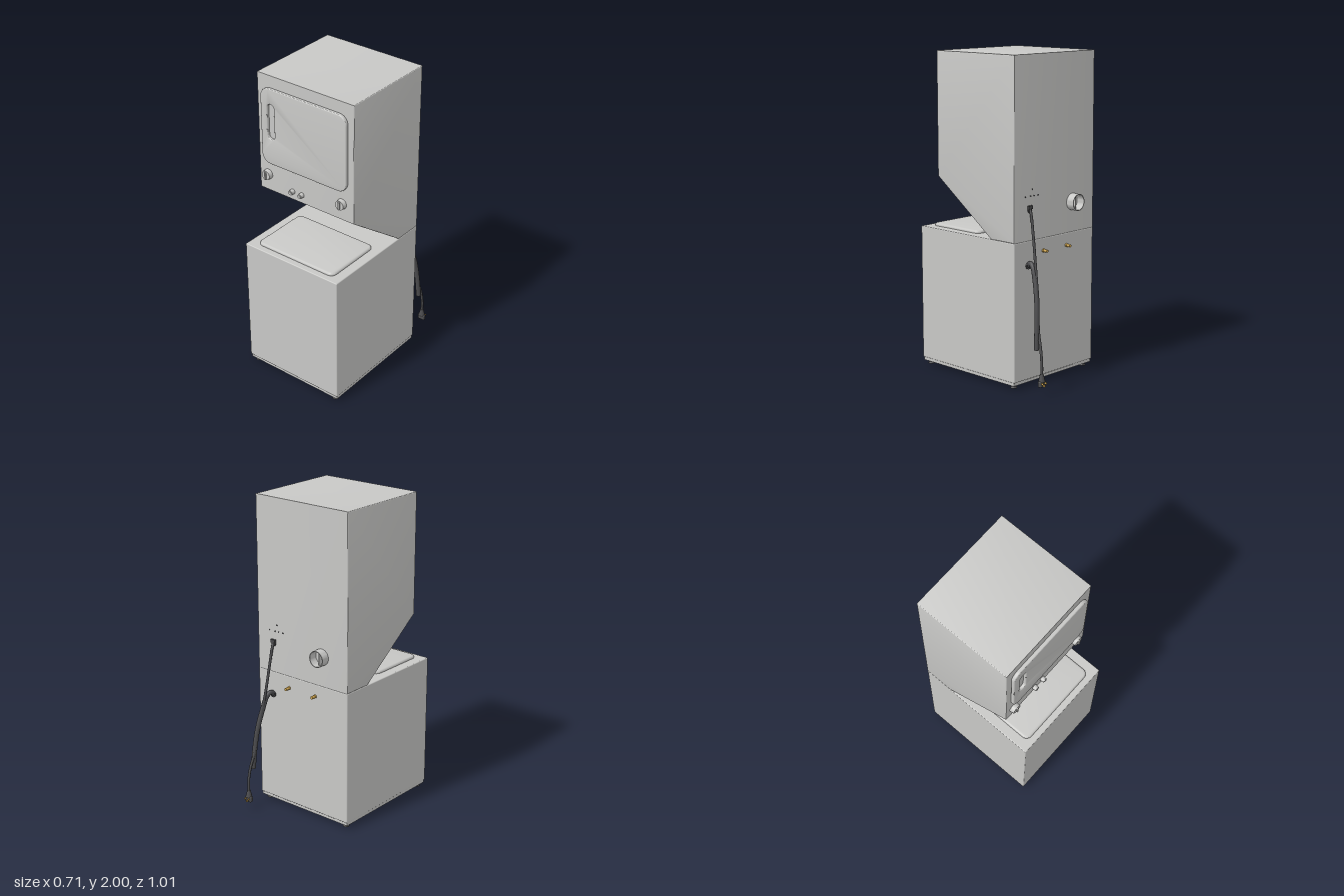
import * as THREE from 'three';
import { toCreasedNormals } from 'three/addons/utils/BufferGeometryUtils.js';
import { RoundedBoxGeometry } from 'three/addons/geometries/RoundedBoxGeometry.js';

const mat = (name, color, side = THREE.FrontSide) => {
  const m = new THREE.MeshStandardMaterial({ color, side });
  m.name = name;
  return m;
};

// Rounded rectangle centred on (cx, cy)
function roundRect(Type, cx, cy, w, h, r) {
  const s = new Type(), x = w / 2 - r, y = h / 2 - r;
  s.absarc(cx + x, cy + y, r, 0, Math.PI / 2);
  s.absarc(cx - x, cy + y, r, Math.PI / 2, Math.PI);
  s.absarc(cx - x, cy - y, r, Math.PI, Math.PI * 1.5);
  s.absarc(cx + x, cy - y, r, Math.PI * 1.5, Math.PI * 2);
  s.closePath();
  return s;
}

// Extrusion whose outline keeps its size, with bevelled ends, from 0 to depth
function slab(shape, depth, size, thick = size) {
  const g = new THREE.ExtrudeGeometry(shape, {
    depth: depth - 2 * thick, bevelEnabled: true, bevelSize: size, bevelOffset: -size,
    bevelThickness: thick, bevelSegments: 3, curveSegments: 10,
  });
  return toCreasedNormals(g.translate(0, 0, thick), 0.6);
}

export function createModel() {
  const model = new THREE.Group();
  model.name = 'stackedWasherDryer';
  const enamel = mat('greyEnamel', 0xc8c8c6);
  const shell = mat('greyDuct', 0xc8c8c6, THREE.DoubleSide);
  const rubber = mat('darkRubber', 0x4c4c4e);
  const brass = mat('brass', 0xd0a650);

  const add = (name, geo, m, x = 0, y = 0, z = 0, parent = model) => {
    const mesh = new THREE.Mesh(geo, m);
    mesh.name = name;
    mesh.position.set(x, y, z);
    parent.add(mesh);
    return mesh;
  };
  // Cylinder lying along z
  const rod = (r0, r1, len, n = 28) => new THREE.CylinderGeometry(r0, r1, len, n).rotateX(Math.PI / 2);
  const tube = (pts, r) => new THREE.TubeGeometry(
    new THREE.CatmullRomCurve3(pts.map(p => new THREE.Vector3(...p))), 48, r, 12);

  // Washer cabinet on a slightly inset base
  add('washerCabinet', new RoundedBoxGeometry(0.71, 0.855, 0.81, 3, 0.006), enamel, 0, 0.4695, 0.1);
  add('washerBase', new THREE.BoxGeometry(0.7, 0.03, 0.795), enamel, 0, 0.037, 0.1);

  // Levelling feet
  for (const x of [-0.315, 0.315]) for (const z of [-0.262, 0.468]) {
    add('footPad', new THREE.CylinderGeometry(0.016, 0.021, 0.01, 20), rubber, x, 0.005, z);
    add('footStem', new THREE.CylinderGeometry(0.009, 0.009, 0.02, 14), rubber, x, 0.018, z);
  }

  // Washer lid with sloping rim
  const lid = slab(roundRect(THREE.Shape, 0, 0, 0.585, 0.405, 0.04), 0.028, 0.014, 0.013);
  add('washerLid', lid.rotateX(-Math.PI / 2), enamel, 0, 0.886, 0.2625);

  // Dryer cabinet: side profile (z, y) extruded across x
  const profile = new THREE.Shape([
    [0.345, 1.232], [0.345, 2], [-0.305, 2], [-0.305, 0.897], [-0.113, 0.897],
  ].map(p => new THREE.Vector2(...p)));
  add('dryerCabinet', slab(profile, 0.71, 0.005).translate(0, 0, -0.355).rotateY(-Math.PI / 2), enamel);

  // Dryer door with a recessed grip
  const door = roundRect(THREE.Shape, 0, 0, 0.63, 0.495, 0.06);
  const grip = [-0.24, 0.035, 0.052, 0.23, 0.0255];
  door.holes.push(roundRect(THREE.Path, ...grip));
  add('dryerDoor', slab(door, 0.024, 0.006), enamel, 0, 1.678, 0.344);
  const gripFloor = new THREE.ShapeGeometry(roundRect(THREE.Shape, -0.24, 0.035, 0.066, 0.244, 0.03), 10);
  add('doorGripFloor', gripFloor, enamel, 0, 1.678, 0.349);

  // Control knobs with raised grips
  for (const x of [-0.29, 0.27]) {
    const knob = new THREE.Group();
    knob.name = 'controlKnob';
    knob.position.set(x, 1.34, 0.345);
    model.add(knob);
    add('knobDisc', rod(0.03, 0.033, 0.028), enamel, 0, 0, 0.014, knob);
    add('knobGrip', new RoundedBoxGeometry(0.012, 0.052, 0.016, 2, 0.003), enamel, 0, 0, 0.029, knob);
  }

  // Push buttons
  for (const x of [-0.102, -0.031]) {
    add('pushButton', rod(0.015, 0.017, 0.026, 20), enamel, x, 1.286, 0.357);
    add('buttonCap', rod(0.009, 0.01, 0.004, 16), enamel, x, 1.286, 0.371);
  }

  // Exhaust duct, open at the back, with a damper bar
  const duct = new THREE.LatheGeometry([
    [0.052, 0], [0.052, 0.055], [0.047, 0.055], [0.047, 0],
  ].map(p => new THREE.Vector2(...p)), 36);
  add('exhaustDuct', toCreasedNormals(duct, 0.6).rotateX(-Math.PI / 2), shell, -0.158, 1.085, -0.304);
  add('ductDamper', new THREE.BoxGeometry(0.006, 0.092, 0.025), enamel, -0.158, 1.085, -0.32);

  // Water inlet valves
  for (const x of [-0.105, 0.104]) {
    add('inletFlange', rod(0.012, 0.012, 0.01, 6), brass, x, 0.82, -0.309);
    add('inletValve', rod(0.009, 0.009, 0.036, 18), brass, x, 0.82, -0.322);
  }

  // Drain hose with its collar
  add('drainHose', tube([[0.236, 0.745, -0.3], [0.238, 0.765, -0.325], [0.245, 0.75, -0.352],
    [0.258, 0.66, -0.385], [0.276, 0.53, -0.415], [0.29, 0.4, -0.428], [0.3, 0.27, -0.435]], 0.0155), rubber);
  add('hoseEnd', new THREE.CylinderGeometry(0.0155, 0.0155, 0.006, 12), rubber, 0.3, 0.27, -0.435);
  add('hoseCollar', rod(0.021, 0.021, 0.01, 20), rubber, 0.236, 0.748, -0.308);

  // Power cord with strain relief
  add('powerCord', tube([[0.225, 1.1, -0.3], [0.226, 1.075, -0.316], [0.232, 0.95, -0.341],
    [0.245, 0.75, -0.375], [0.268, 0.55, -0.415], [0.285, 0.38, -0.437], [0.297, 0.28, -0.465],
    [0.302, 0.19, -0.479], [0.302, 0.1, -0.479]], 0.0085), rubber);
  add('cordClamp', new THREE.BoxGeometry(0.034, 0.02, 0.016), rubber, 0.225, 1.1, -0.31);
  add('cordGrommet', rod(0.016, 0.016, 0.008, 20), rubber, 0.225, 1.082, -0.308);

  // Plug with prongs facing back
  add('plugNeck', new THREE.CylinderGeometry(0.011, 0.021, 0.045, 18), rubber, 0.302, 0.105, -0.479);
  add('plugBody', new RoundedBoxGeometry(0.05, 0.038, 0.026, 3, 0.008), rubber, 0.302, 0.069, -0.479);
  for (const [dx, y] of [[-0.014, 0.074], [0.014, 0.074], [0, 0.06]])
    add('plugProng', new THREE.BoxGeometry(0.004, 0.011, 0.018), brass, 0.302 + dx, y, -0.497);

  // Rear screws around the cord entry
  for (const [x, y] of [[0.15, 1.165], [0.185, 1.165], [0.215, 1.165], [0.26, 1.165], [0.2, 1.205]])
    add('rearScrew', rod(0.0045, 0.0045, 0.004, 10), rubber, x, y, -0.306);

  return model;
}
